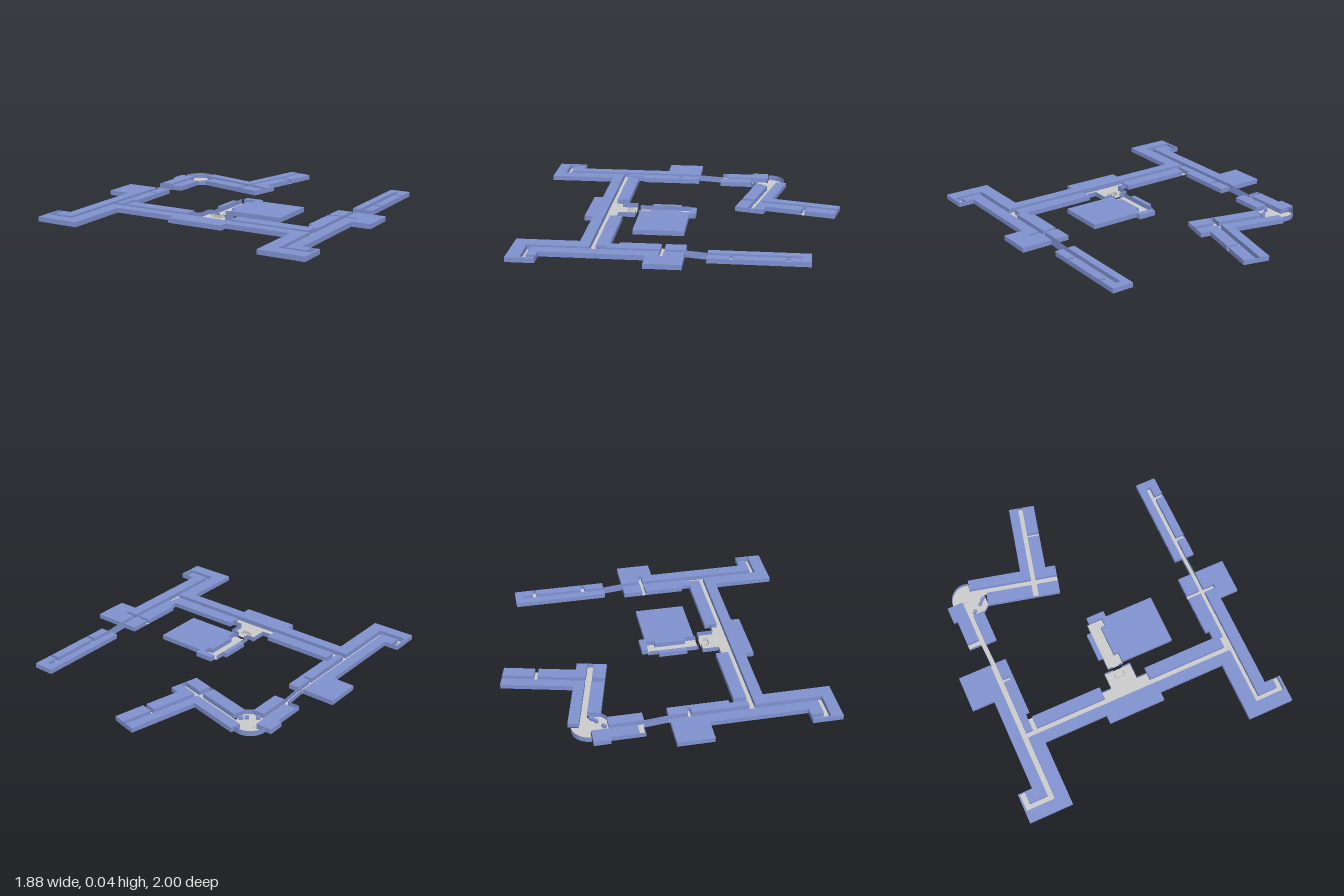
import * as THREE from 'three';

const blue = new THREE.MeshStandardMaterial({ color: 0x8092d0, side: THREE.DoubleSide, flatShading: true });
const grey = new THREE.MeshStandardMaterial({ color: 0xcccccc, side: THREE.DoubleSide, flatShading: true });
const H = 0.031;       // storey height
const UP = 0.013;      // floor level of the front part
const LOW = 0.002;     // floor level of the rear wings

const rect = (x0, z0, x1, z1) => [[x0, z0], [x1, z0], [x1, z1], [x0, z1]];

function add(parent, name, geometry, material) {
  const mesh = new THREE.Mesh(geometry, material);
  mesh.name = name;
  parent.add(mesh);
  return mesh;
}

// Flat horizontal polygon from [x, z] points
function slab(pts, y) {
  const shape = new THREE.Shape(pts.map(([x, z]) => new THREE.Vector2(x, -z)));
  return new THREE.ShapeGeometry(shape).rotateX(-Math.PI / 2).translate(0, y, 0);
}

// Upright ribbon along [x, z, floor] points
function ribbon(pts, y, h, closed) {
  const pos = [];
  const n = closed ? pts.length : pts.length - 1;
  for (let i = 0; i < n; i++) {
    const [x0, z0, a = y] = pts[i];
    const [x1, z1, b = y] = pts[(i + 1) % pts.length];
    pos.push(x0, a, z0, x1, b, z1, x1, b + h, z1, x0, a, z0, x1, b + h, z1, x0, a + h, z0);
  }
  const g = new THREE.BufferGeometry();
  g.setAttribute('position', new THREE.Float32BufferAttribute(pos, 3));
  g.computeVertexNormals();
  return g;
}

// Room block: a roof with walls, open underneath
function rooms(parent, name, pts, y) {
  const g = new THREE.Group();
  g.name = name;
  add(g, name + 'Roof', slab(pts, y + H), blue);
  add(g, name + 'Walls', ribbon(pts, y, H, true), blue);
  parent.add(g);
}

const floor = (parent, name, pts, y) => add(parent, name, slab(pts, y), grey);
const wall = (parent, name, pts, y, h = H, m = blue) => add(parent, name, ribbon(pts, y, h, false), m);

// Sloping corridor with side walls, from z0 (low) to z1 (high)
function ramp(parent, name, xa, xb, z0, z1, w) {
  const g = new THREE.BufferGeometry();
  g.setAttribute('position', new THREE.Float32BufferAttribute(
    [xa, LOW, z0, xb, UP, z1, xb + w, UP, z1, xa, LOW, z0, xb + w, UP, z1, xa + w, LOW, z0], 3));
  g.computeVertexNormals();
  add(parent, name + 'Floor', g, grey);
  for (const d of [0, w]) wall(parent, name + 'Wall', [[xa + d, z0, LOW], [xb + d, z1, UP]], LOW);
}

export function createModel() {
  const model = new THREE.Group();
  model.name = 'floorPlan';

  // Front part: room blocks
  const front = {
    leftOuterRooms: [[0.74, -0.07], [0.94, -0.07], [0.94, 0.155], [0.815, 0.155], [0.815, 0.79], [0.87, 0.79],
      [0.87, 0.85], [0.74, 0.85], [0.74, 0.08], [0.815, 0.08], [0.815, 0.055], [0.74, 0.055]],
    leftFootEnd: rect(0.905, 0.79, 0.92, 0.88),
    leftInnerRoom: rect(0.62, -0.07, 0.71, 0.055),
    leftInnerRooms: [[0.62, 0.08], [0.71, 0.08], [0.71, 0.4], [0.685, 0.4], [0.685, 0.47], [0.16, 0.47],
      [0.16, 0.39], [0.645, 0.39], [0.645, 0.335], [0.62, 0.335]],
    rightOuterRooms: [[-0.945, -0.03], [-0.73, -0.03], [-0.73, 0.89], [-0.85, 0.89], [-0.85, 0.81],
      [-0.8, 0.81], [-0.8, 0.2], [-0.945, 0.2]],
    rightFootEnd: rect(-0.895, 0.81, -0.883, 0.925),
    rightInnerRooms: [[-0.695, -0.03], [-0.625, -0.03], [-0.625, 0.355], [-0.65, 0.355], [-0.65, 0.47],
      [-0.695, 0.47], [-0.695, 0.11], [-0.645, 0.11], [-0.645, 0.088], [-0.695, 0.088]],
    rightHallRooms: rect(-0.62, 0.39, -0.155, 0.47),
    southRooms: [[-0.895, 0.925], [-0.695, 0.925], [-0.695, 0.505], [0.71, 0.505], [0.71, 0.88], [0.92, 0.88],
      [0.92, 0.965], [0.62, 0.965], [0.62, 0.575], [0.185, 0.575], [0.185, 0.63], [-0.19, 0.63],
      [-0.19, 0.575], [-0.61, 0.575], [-0.61, 1], [-0.895, 1]],
    // Detached centre rooms
    centreHall: [[0.05, -0.03], [0.4, -0.03], [0.4, 0.29], [0.05, 0.29], [0.05, 0.225], [0.02, 0.225],
      [0.02, 0.025], [0.05, 0.025]],
    centreBackRoom: rect(-0.04, -0.07, 0.08, -0.03),
    centreSideRoom: rect(-0.085, 0.035, -0.055, 0.22),
  };
  for (const [name, pts] of Object.entries(front)) rooms(model, name, pts, UP);

  // Front part: corridor floors
  const floors = {
    leftCorridor: rect(0.71, -0.07, 0.74, 0.88),
    leftCrossPassage: rect(0.62, 0.055, 0.815, 0.08),
    leftFootCorridor: rect(0.74, 0.85, 0.905, 0.88),
    leftFootStub: rect(0.87, 0.79, 0.905, 0.85),
    leftHallStub: rect(0.685, 0.4, 0.71, 0.47),
    rightCorridor: rect(-0.73, -0.03, -0.695, 0.925),
    rightPassage: rect(-0.695, 0.088, -0.645, 0.11),
    rightFootCorridor: rect(-0.883, 0.89, -0.73, 0.925),
    rightFootStub: rect(-0.883, 0.81, -0.85, 0.89),
    rightHallStub: rect(-0.65, 0.39, -0.62, 0.47),
    mainCorridor: rect(-0.695, 0.47, 0.71, 0.505),
    lobbyFloor: [[-0.155, 0.47], [-0.155, 0.425], [-0.09, 0.425], [-0.09, 0.32], [0.09, 0.32], [0.09, 0.425],
      [0.16, 0.425], [0.16, 0.47]],
    centreFloor: [[-0.055, -0.03], [0.05, -0.03], [0.05, 0.025], [0.02, 0.025], [0.02, 0.225], [0.05, 0.225],
      [0.05, 0.3], [-0.055, 0.3]],
  };
  for (const [name, pts] of Object.entries(floors)) floor(model, name, pts, UP);

  // Outer walls and low partitions of lobby and centre
  for (const s of [-1, 1]) {
    wall(model, 'lobbyWall', [[s * 0.157, 0.425], [s * 0.09, 0.425], [s * 0.09, 0.32], [s * 0.03, 0.32]], UP);
    wall(model, 'lobbyPartition', [[s * 0.03, 0.345], [s * 0.03, 0.375], [0, 0.375]], UP, 0.02, grey);
  }
  wall(model, 'centreWall', [[-0.055, -0.03], [-0.055, 0.3], [-0.025, 0.3]], UP);
  wall(model, 'centreWall', [[0.05, 0.29], [0.05, 0.3], [0.02, 0.3]], UP);
  wall(model, 'stubWall', [[0.87, 0.79], [0.905, 0.79]], UP);
  wall(model, 'stubWall', [[-0.883, 0.81], [-0.85, 0.81]], UP);

  // Ramps down to the rear wings
  ramp(model, 'leftRamp', 0.71, 0.71, -0.2, -0.07, 0.03);
  ramp(model, 'rightRamp', -0.73, -0.725, -0.185, -0.03, 0.03);

  // Left rear wing
  rooms(model, 'leftRearRooms', [[0.66, -0.81], [0.795, -0.81], [0.795, -0.69], [0.74, -0.69], [0.74, -0.76],
    [0.71, -0.76], [0.71, -0.2], [0.66, -0.2]], LOW);
  rooms(model, 'leftRearMiddleRooms', rect(0.74, -0.665, 0.795, -0.355), LOW);
  rooms(model, 'leftRearFrontRooms', rect(0.74, -0.33, 0.795, -0.2), LOW);
  floor(model, 'leftRearCorridor', rect(0.71, -0.76, 0.74, -0.2), LOW);
  for (const z of [-0.69, -0.355]) {
    floor(model, 'leftRearPassage', rect(0.74, z, 0.795, z + 0.025), LOW);
    wall(model, 'passageEndWall', [[0.795, z], [0.795, z + 0.025]], LOW);
  }

  // Right rear wing
  rooms(model, 'rightRearOuterRooms', [[-0.835, -0.505], [-0.73, -0.505], [-0.73, -0.225], [-0.81, -0.225],
    [-0.81, -0.4], [-0.835, -0.4]], LOW);
  rooms(model, 'rightRearInnerRooms', rect(-0.7, -0.395, -0.627, -0.18), LOW);
  floor(model, 'rightRearCorridor', rect(-0.73, -0.505, -0.7, -0.185), LOW);
  floor(model, 'rightRearPassage', rect(-0.81, -0.225, -0.73, -0.188), LOW);
  wall(model, 'rightRearPassageWall', [[-0.81, -0.225], [-0.81, -0.188], [-0.73, -0.188]], LOW);

  // Rounded corner hall
  const arc = [];
  for (let i = 0; i <= 12; i++) {
    const a = Math.PI * (1 + i / 24);
    arc.push([-0.685 + 0.11 * Math.cos(a), -0.51 + 0.11 * Math.sin(a)]);
  }
  arc.push([-0.65, -0.613]);
  const inner = [[-0.58, -0.5], [-0.58, -0.425], [-0.62, -0.392], [-0.7, -0.395]];
  floor(model, 'cornerFloor', [...arc, [-0.66, -0.555], [-0.58, -0.53], ...inner, [-0.7, -0.505]], LOW);
  wall(model, 'cornerCurvedWall', arc, LOW, H + 0.004);
  wall(model, 'cornerInnerWall', inner, LOW);
  for (const [x, z] of [[-0.68, -0.42], [-0.6, -0.485], [-0.625, -0.46]]) {
    const post = add(model, 'cornerPost', new THREE.BoxGeometry(0.028, 0.02, 0.018), blue);
    post.position.set(x, LOW + 0.01, z);
    post.rotation.y = 0.7;
  }

  // Angled wing, laid out around its corridor crossing
  const angled = new THREE.Group();
  angled.name = 'angledWing';
  angled.position.set(-0.25, 0, -0.45);
  angled.rotation.y = -0.235;
  model.add(angled);
  rooms(angled, 'angledBackRooms', [[-0.424, -0.088], [-0.0755, -0.088], [-0.0755, -0.543], [-0.015, -0.543],
    [-0.015, -0.02], [-0.424, -0.02]], LOW);
  rooms(angled, 'angledEndRooms', rect(0.015, -0.543, 0.093, -0.345), LOW);
  rooms(angled, 'angledSideRooms', [[0.015, -0.322], [0.093, -0.322], [0.093, -0.088], [0.158, -0.088],
    [0.158, -0.02], [0.015, -0.02]], LOW);
  rooms(angled, 'angledFrontRooms', rect(-0.318, 0.02, -0.018, 0.103), LOW);
  rooms(angled, 'angledCornerRoom', rect(0.018, 0.02, 0.158, 0.103), LOW);
  floor(angled, 'angledLongCorridor', rect(-0.43, -0.02, 0.158, 0.02), LOW);
  floor(angled, 'angledArmCorridor', rect(-0.015, -0.543, 0.015, -0.02), LOW);
  floor(angled, 'angledArmStub', rect(-0.018, 0.02, 0.018, 0.103), LOW);
  floor(angled, 'angledPassage', rect(0.015, -0.345, 0.093, -0.322), LOW);
  wall(angled, 'angledEndWall', [[0.158, -0.02], [0.158, 0.02]], LOW);
  wall(angled, 'angledEndWall', [[-0.018, 0.103], [0.018, 0.103]], LOW);
  wall(angled, 'angledEndWall', [[-0.015, -0.543], [0.015, -0.543]], LOW);

  return model;
}
